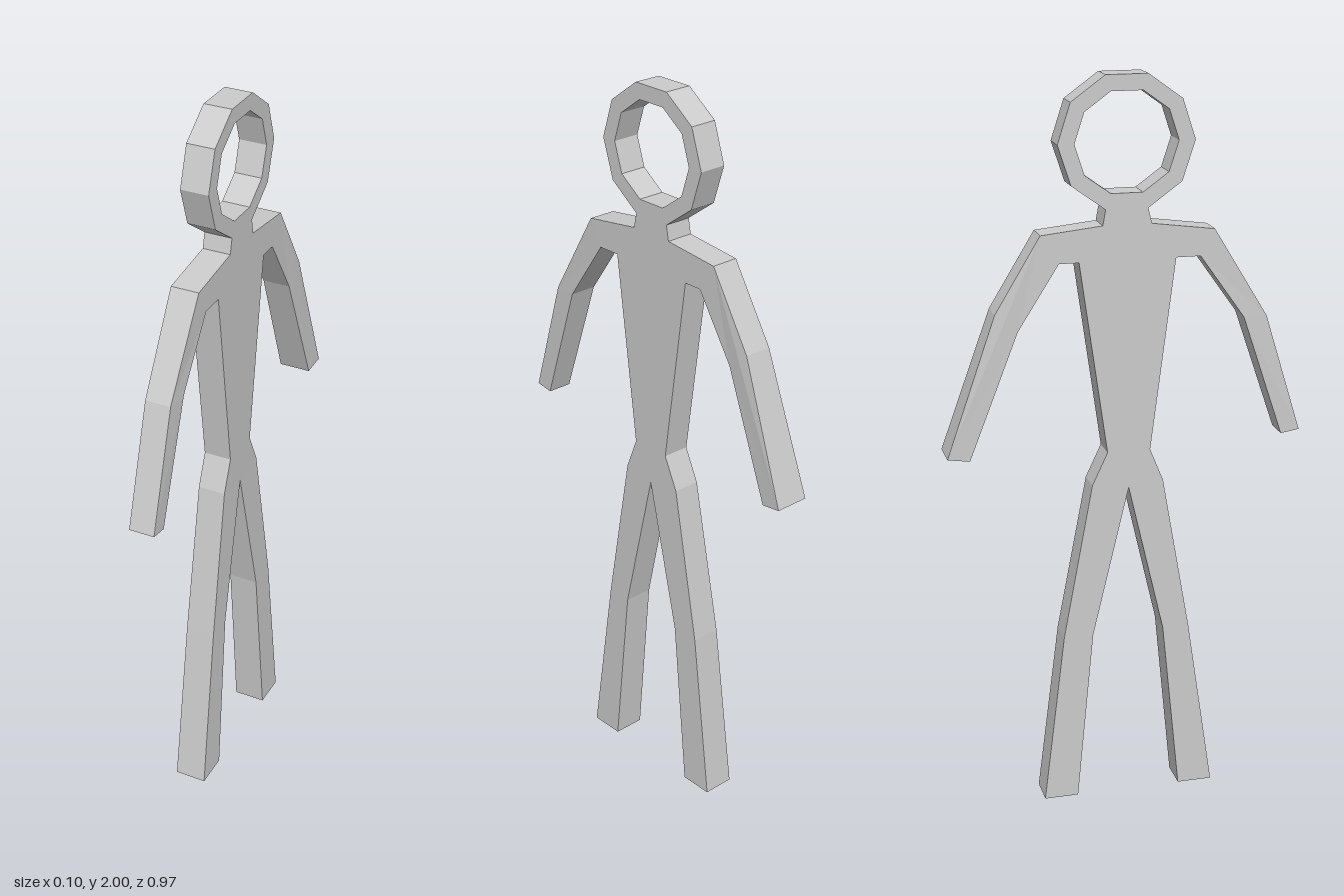
import * as THREE from 'three';

const material = new THREE.MeshStandardMaterial({ color: 0xcccccc, flatShading: true });
const toPoints = (pts) => pts.map(([z, y]) => new THREE.Vector2(z, y));

// Half thickness along x: thin body, flaring at the feet and the rear hand
function halfThickness(z, y) {
  if (y < 0.92) return THREE.MathUtils.lerp(0.044, 0.038, y / 0.92);
  if (z < -0.34) return THREE.MathUtils.mapLinear(z, -0.34, -0.485, 0.038, 0.048);
  if (z > 0.38) return 0.035;
  return 0.038;
}

// Flat slab cut from a [z, y] outline and thickened along x
function slab(name, outline, hole) {
  const shape = new THREE.Shape(toPoints(outline));
  if (hole) shape.holes.push(new THREE.Path(toPoints(hole)));
  const geo = new THREE.ExtrudeGeometry(shape, { depth: 2, bevelEnabled: false });
  geo.translate(0, 0, -1).rotateY(-Math.PI / 2);
  const p = geo.attributes.position;
  for (let i = 0; i < p.count; i++) p.setX(i, p.getX(i) * halfThickness(p.getZ(i), p.getY(i)));
  geo.computeVertexNormals();
  const mesh = new THREE.Mesh(geo, material);
  mesh.name = name;
  return mesh;
}

// Ten-sided ring outline with a flat top and bottom
function decagon(radius) {
  return Array.from({ length: 10 }, (_, i) => {
    const a = (i * Math.PI) / 5;
    return [radius * Math.cos(a), 1.828 + radius * 0.99 * Math.sin(a)];
  });
}

export function createModel() {
  const group = new THREE.Group();
  group.name = 'stickFigure';

  // Open ring head
  group.add(slab('head', decagon(0.181), decagon(0.137)));

  // Neck, shoulders, tapering torso and hips
  group.add(slab('torso', [
    [0.056, 1.66], [0.066, 1.617], [0.236, 1.594], [0.198, 1.524], [0.132, 1.524],
    [0.064, 1.005], [0.1, 0.916], [0.005, 0.902], [-0.095, 0.916],
    [-0.053, 1.005], [-0.127, 1.524], [-0.18, 1.524], [-0.228, 1.6], [-0.064, 1.617], [-0.056, 1.66],
  ]));

  // Arms: shoulder, elbow, hand and back along the inner edge
  group.add(slab('frontArm', [
    [0.236, 1.594], [0.384, 1.352], [0.484, 1.027], [0.433, 1.019], [0.32, 1.352], [0.198, 1.524],
  ]));
  group.add(slab('backArm', [
    [-0.228, 1.6], [-0.35, 1.4], [-0.484, 1.024], [-0.424, 1.014], [-0.29, 1.352], [-0.18, 1.524],
  ]));

  // Legs: hip, knee, foot and back up to the crotch
  group.add(slab('frontLeg', [
    [0.1, 0.916], [0.175, 0.483], [0.245, 0], [0.149, 0], [0.102, 0.483], [0.005, 0.902],
  ]));
  group.add(slab('backLeg', [
    [-0.095, 0.916], [-0.177, 0.483], [-0.237, 0], [-0.143, 0], [-0.096, 0.483], [0.005, 0.902],
  ]));

  return group;
}
